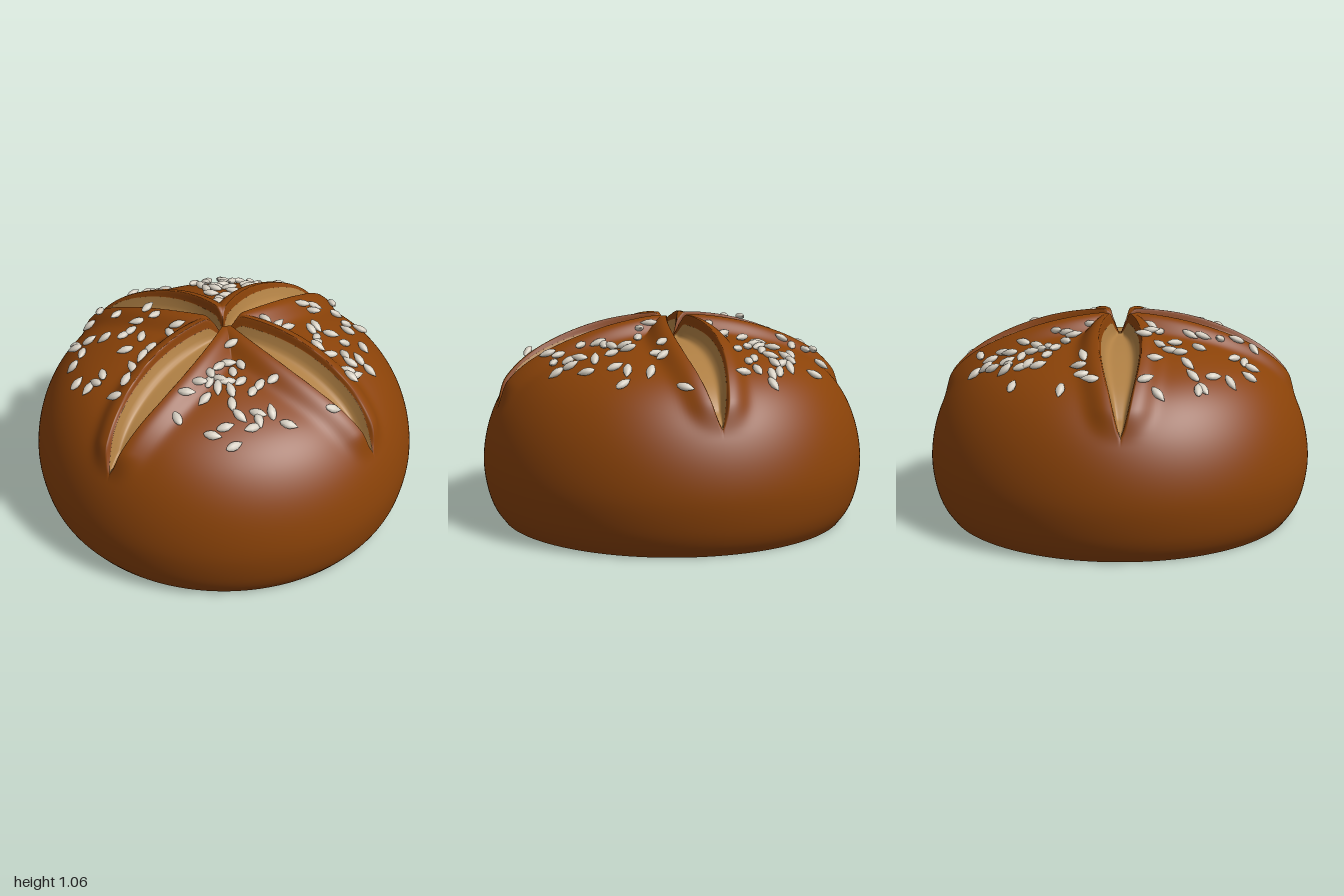
import * as THREE from 'three';
import { mergeGeometries, mergeVertices } from 'three/addons/utils/BufferGeometryUtils.js';

const ARMS = 4, TWIST = 0.233, TIP = 0.92, DEPTH = 0.05, ROWS = 120, QUARTER = Math.PI / 2;

// Dome profile from the crown down to the open base
const profile = new THREE.CatmullRomCurve3([
  [0, 0.99], [0.2, 0.98], [0.4, 0.95], [0.6, 0.89], [0.75, 0.815], [0.85, 0.725], [0.93, 0.6],
  [0.982, 0.45], [1, 0.29], [0.978, 0.14], [0.947, 0.06], [0.905, 0],
].map(([r, y]) => new THREE.Vector3(r, y, 0)));

// Seed positions on the four crust sectors, as x, z pairs in hundredths
const SEEDS = {
  backRight: [-52, -59, -35, -71, -28, -68, -54, -57, -48, -52, -44, -44, -65, -43, -57, -46, -29, -52, -38, -35,
    -34, -35, -28, -36, -20, -36, -72, -29, -72, -19, -68, -18, -63, -19, -46, -23, -34, -25, -22, -28,
    -45, -9, -53, -6, -60, -1, -69, 1, -39, -11, -24, -14, -19, -14],
  backLeft: [11, -77, 37, -70, -3, -73, 2, -69, 6, -62, 5, -56, 27, -59, 33, -56, 36, -58, 45, -57, 44, -53,
    25, -50, 39, -48, 46, -49, 53, -51, 58, -47, 64, -47, 23, -43, 27, -41, 30, -43, 35, -44, 58, -40,
    52, -36, 48, -39, 65, -32, 43, -31, 20, -35, 18, -26, 22, -25, 27, -25, 34, -37, 11, -18],
  frontLeft: [17, 12, 47, 6, 57, 6, 53, 9, 79, -4, 68, 12, 73, 25, 65, 23, 60, 29, 21, 17, 28, 18, 43, 23,
    38, 25, 36, 31, 46, 31, 32, 35, 30, 38, 48, 39, 58, 43, 41, 47, 47, 51, 40, 52, 48, 58, 30, 46,
    36, 60, 32, 57, 29, 62],
  frontRight: [-10, 18, -24, 25, -18, 25, -30, 26, -38, 27, -14, 30, -20, 31, -28, 30, -33, 29, -46, 28, -57, 34,
    -41, 35, -32, 34, -26, 34, -21, 38, -28, 39, -20, 46, -15, 45, -8, 47, -33, 46, -34, 53, -50, 52,
    -43, 53, -45, 62, -26, 57, -33, 61, -28, 60, -20, 60, -17, 69, 6, 73],
};

const smooth = (x, a, b) => THREE.MathUtils.smoothstep(x, a, b);
const inCut = (p) => p.x < TIP && p.y > 0.5;

// Half width of a cut at a point of the profile
const cutWidth = (p) => (inCut(p) ? 0.094 * Math.pow(Math.sin(Math.PI * p.x / TIP), 0.7) : 0);
const halfAngle = (p) => (p.x > 1e-4 ? Math.min(0.6, Math.asin(cutWidth(p) / p.x)) : 0.6);

// Height of a cut's edge relative to the dome
function edgeHeight(p) {
  const s = smooth(p.x, 0, 0.1);
  const raised = inCut(p) ? 0.024 * (1 - smooth(p.x, 0.78, TIP)) : 0;
  return s * raised - DEPTH * (1 - s);
}

// Raised lip at distance d from the edge of a cut
function lipHeight(p, d) {
  const along = p.y > 0.5 ? 0.036 + 0.038 * (1 - smooth(p.x, 0.1, 0.95)) : 0;
  const fade = 1 - smooth(p.x, 0.85, 0.94);
  const bump = 1.15 * Math.exp(-((d / 0.1) ** 3)) - 0.15 * Math.exp(-((d / 0.2) ** 2));
  const rise = smooth(d, 0, 0.009);
  return along * fade * smooth(p.x, 0.01, 0.1) * rise * bump + edgeHeight(p) * (1 - rise);
}

// Point of the dome at a profile parameter and angle, pushed out along the normal
function domePoint(t, angle, offset) {
  const p = profile.getPointAt(t), g = profile.getTangentAt(t);
  const r = t === 0 ? 0 : p.x - g.y * offset, y = p.y + g.x * offset;
  return new THREE.Vector3(r * Math.sin(angle), y, r * Math.cos(angle));
}

// Skin a grid of points; point(i, j) gives row i, column j
function skin(rows, cols, point) {
  const pos = [], index = [];
  for (let i = 0; i <= rows; i++) {
    for (let j = 0; j <= cols; j++) {
      pos.push(...point(i, j).toArray());
      if (i === rows || j === cols) continue;
      const a = i * (cols + 1) + j, b = a + cols + 1;
      if (i > 0) index.push(a, b, a + 1);
      index.push(b, b + 1, a + 1);
    }
  }
  const geo = new THREE.BufferGeometry();
  geo.setAttribute('position', new THREE.Float32BufferAttribute(pos, 3));
  geo.setIndex(index);
  return geo;
}

// Crust between two neighbouring cuts, with columns crowded towards the lips
function crustSector(k) {
  const cols = 72;
  return skin(ROWS, cols, (i, j) => {
    const t = i / ROWS, p = profile.getPointAt(t), h = halfAngle(p);
    const span = QUARTER - 2 * h, f = (1 - Math.cos(Math.PI * j / cols)) / 2;
    const d = Math.min(f, 1 - f) * span * p.x;
    return domePoint(t, TWIST + k * QUARTER + h + f * span, lipHeight(p, d));
  });
}

// Pale hollow floor of one cut
function cutFloor(k) {
  const cols = 16;
  let rows = 1;
  while (cutWidth(profile.getPointAt(rows / ROWS)) > 0) rows++;
  return skin(rows, cols, (i, j) => {
    const t = i / ROWS, p = profile.getPointAt(t), v = j / cols * 2 - 1;
    const edge = edgeHeight(p), hollow = (1 - v ** 6) * Math.min(1, cutWidth(p) / 0.03);
    return domePoint(t, TWIST + k * QUARTER + v * halfAngle(p), edge - (DEPTH + edge) * hollow);
  });
}

function joined(parts) {
  const geo = mergeVertices(mergeGeometries(parts), 1e-5);
  geo.computeVertexNormals();
  return geo;
}

// Flattened seed, pointed at both ends and fuller at one
function seedGeometry() {
  const profilePoints = [[0, -0.046], [0.013, -0.036], [0.022, -0.014], [0.022, 0.008], [0.012, 0.03], [0, 0.048]];
  const geo = new THREE.LatheGeometry(profilePoints.map(([r, y]) => new THREE.Vector2(r, y)), 10);
  return geo.rotateX(QUARTER).scale(1, 0.75, 1);
}

// Profile parameter on the upper dome at a given radius
function paramAtRadius(r) {
  let lo = 0, hi = 0.5;
  for (let n = 0; n < 20; n++) {
    const mid = (lo + hi) / 2;
    if (profile.getPointAt(mid).x < r) lo = mid;
    else hi = mid;
  }
  return lo;
}

function seededRandom(seed) {
  return () => {
    seed = (seed * 16807) % 2147483647;
    return seed / 2147483647;
  };
}

export function createModel() {
  const crustMat = new THREE.MeshStandardMaterial({ color: 0x8a4208, side: THREE.DoubleSide });
  crustMat.name = 'brown crust';
  const crumbMat = new THREE.MeshStandardMaterial({ color: 0xb08044, side: THREE.DoubleSide });
  crumbMat.name = 'pale crumb';
  const seedMat = new THREE.MeshStandardMaterial({ color: 0xd6cfc2 });
  seedMat.name = 'seed white';

  const model = new THREE.Group();
  model.name = 'breadRoll';
  const arms = [...Array(ARMS).keys()];

  const crust = new THREE.Mesh(joined(arms.map(crustSector)), crustMat);
  crust.name = 'crust';
  const cuts = new THREE.Mesh(joined(arms.map(cutFloor)), crumbMat);
  cuts.name = 'cuts';
  model.add(crust, cuts);

  // Seeds lying on the crust, each turned and tilted a little differently
  const random = seededRandom(4711), geo = seedGeometry(), up = new THREE.Vector3(0, 1, 0);
  for (const [sector, spots] of Object.entries(SEEDS)) {
    const group = new THREE.Group();
    group.name = sector + 'Seeds';
    for (let n = 0; n < spots.length; n += 2) {
      const x = spots[n] / 100, z = spots[n + 1] / 100;
      const angle = Math.atan2(x, z), t = paramAtRadius(Math.hypot(x, z));
      const p = profile.getPointAt(t), g = profile.getTangentAt(t);
      const turn = THREE.MathUtils.euclideanModulo(angle - TWIST, QUARTER);
      const d = Math.max(0.03, (Math.min(turn, QUARTER - turn) - halfAngle(p)) * p.x);
      const normal = new THREE.Vector3(-g.y * Math.sin(angle), g.x, -g.y * Math.cos(angle));
      const seed = new THREE.Mesh(geo, seedMat);
      seed.name = 'seed';
      seed.position.copy(domePoint(t, angle, lipHeight(p, d) + 0.013));
      seed.quaternion.setFromUnitVectors(up, normal.normalize());
      seed.rotateY(random() * Math.PI * 2);
      seed.rotateX((random() - 0.5) * 0.5);
      group.add(seed);
    }
    model.add(group);
  }
  return model;
}
